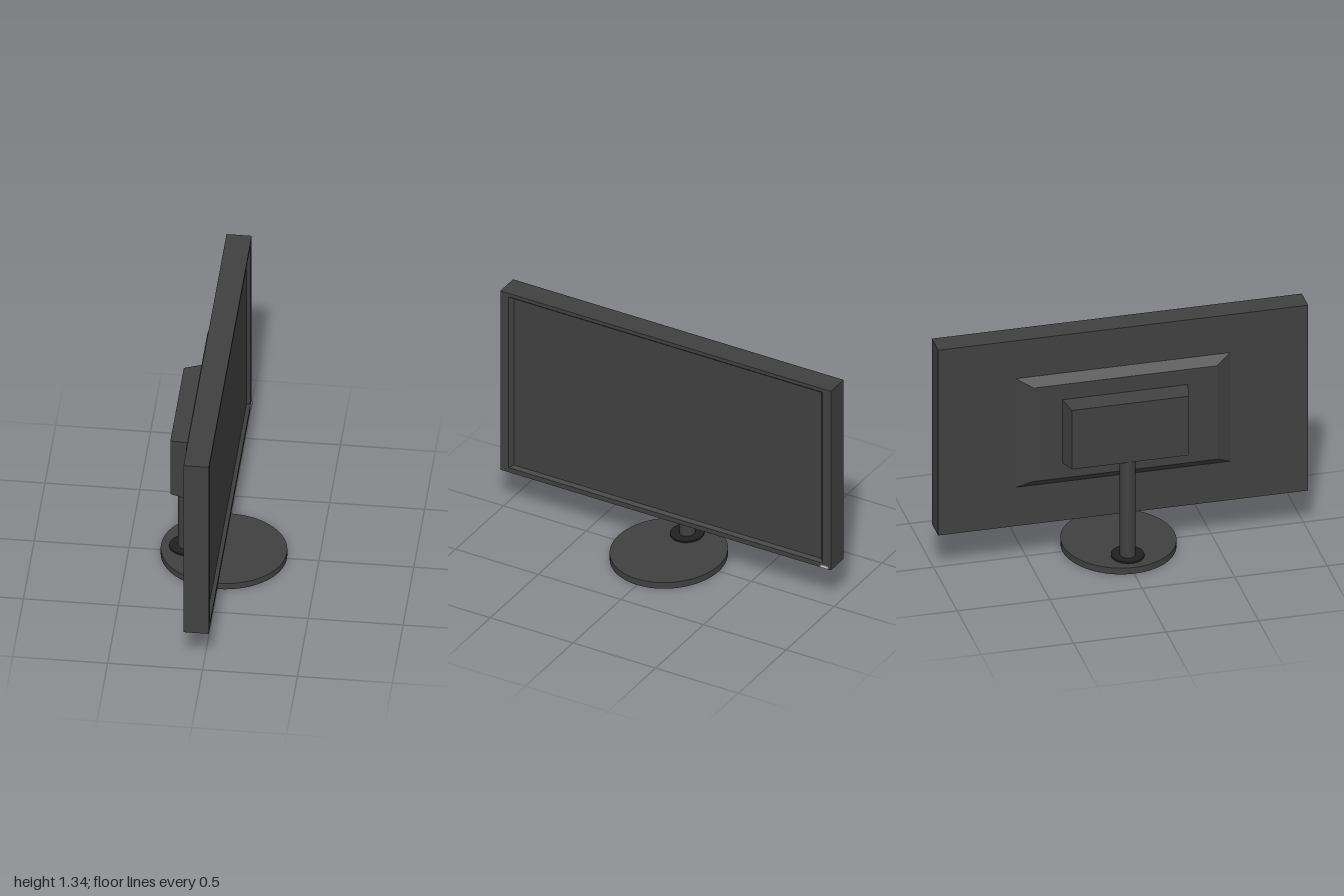
import * as THREE from 'three';

const dark = new THREE.MeshStandardMaterial({ color: 0x404040 });
const black = new THREE.MeshStandardMaterial({ color: 0x202020 });
const grey = new THREE.MeshStandardMaterial({ color: 0xcccccc });

// Skins rectangles [x, bottom, top, halfWidth] along x and caps both ends, with hard edges
function loft(sections) {
  const points = [];
  const quad = (a, b, c, d) => points.push(...a, ...b, ...c, ...a, ...c, ...d);
  const rings = sections.map(([x, y0, y1, w]) => [[x, y0, -w], [x, y1, -w], [x, y1, w], [x, y0, w]]);
  for (let r = 0; r < rings.length - 1; r++) {
    for (let i = 0; i < 4; i++) {
      const j = (i + 1) % 4;
      quad(rings[r][i], rings[r][j], rings[r + 1][j], rings[r + 1][i]);
    }
  }
  quad(...[...rings[0]].reverse());
  quad(...rings[rings.length - 1]);
  const geometry = new THREE.BufferGeometry();
  geometry.setAttribute('position', new THREE.Float32BufferAttribute(points, 3));
  geometry.computeVertexNormals();
  return geometry;
}

// Upright cylinder, slightly narrower in z
function oval(radius, y0, y1, x, segments) {
  return new THREE.CylinderGeometry(radius, radius, y1 - y0, segments)
    .scale(1, 1, 0.91)
    .translate(x, (y0 + y1) / 2, 0);
}

export function createModel() {
  const group = new THREE.Group();
  const add = (name, geometry, material = dark) => {
    const mesh = new THREE.Mesh(geometry, material);
    mesh.name = name;
    group.add(mesh);
  };

  // Stand
  add('base', oval(0.332, 0, 0.037, 0, 64));
  add('collar', oval(0.096, 0.037, 0.046, -0.192, 48), black);
  add('pole', oval(0.046, 0.04, 0.65, -0.195, 40));

  // Screen housing: back, sides, bezel, sloped recess and display panel
  add('screenHousing', loft([
    [-0.1, 0.24, 1.34, 1],
    [0.033, 0.24, 1.34, 1],
    [0.033, 0.268, 1.318, 0.95],
    [0.013, 0.28, 1.302, 0.93],
  ]));
  add('powerLight', new THREE.BoxGeometry(0.01, 0.016, 0.045).translate(0.033, 0.251, -0.962), grey);

  // Tapered back panel and the mount that meets the pole
  add('backPanel', loft([
    [-0.143, 0.515, 1.07, 0.495],
    [-0.1, 0.47, 1.115, 0.58],
  ]));
  add('standMount', loft([
    [-0.247, 0.617, 0.967, 0.315],
    [-0.143, 0.605, 0.98, 0.34],
  ]));

  return group;
}
